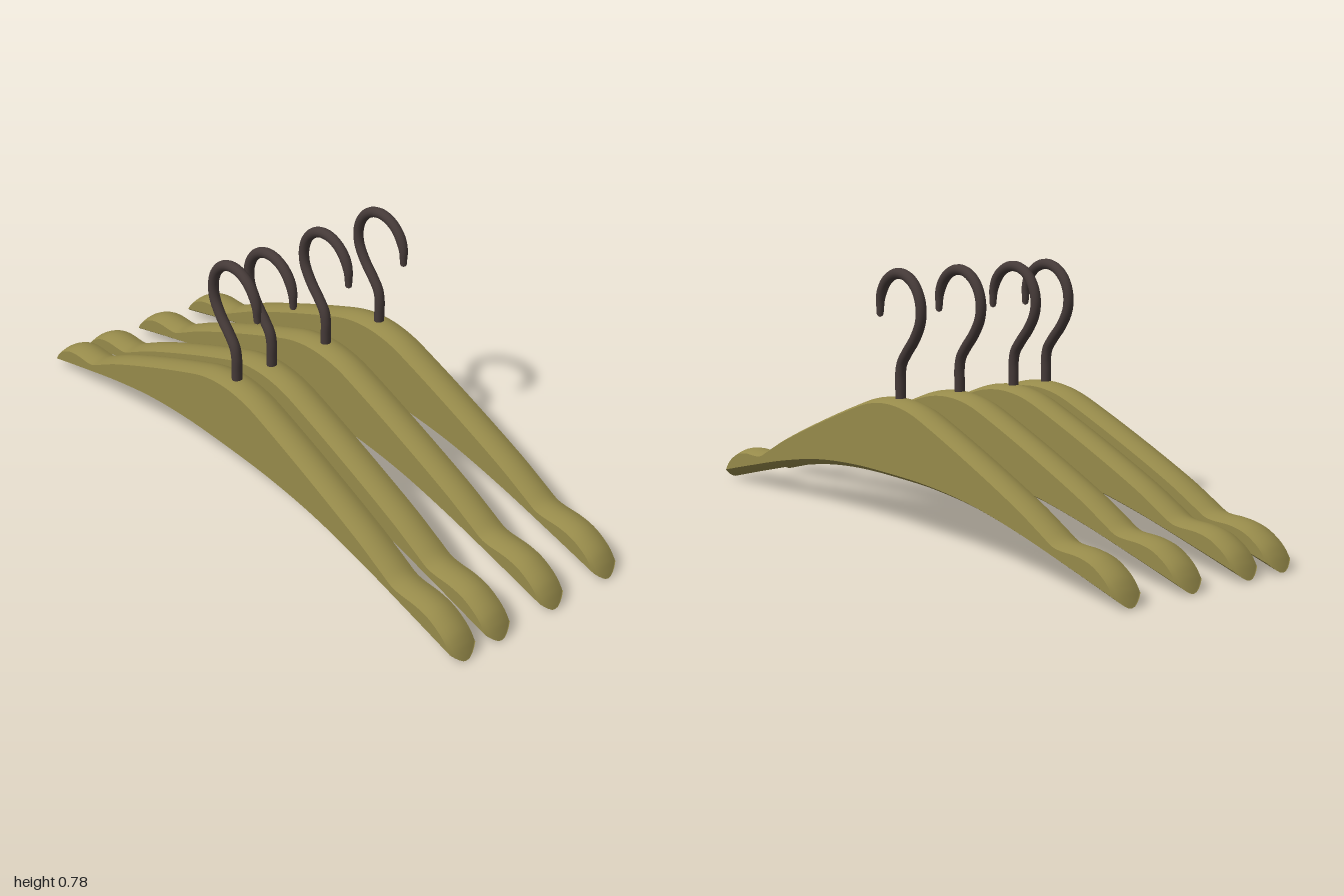
import * as THREE from 'three';

const HALF_WIDTH = 0.046;
const wood = new THREE.MeshStandardMaterial({ color: 0x968a4a });
const metal = new THREE.MeshStandardMaterial({ color: 0x453a38 });

// Half outlines of the wooden arms as [x, y]; mirrored about x = 0
const TOP = [
  [0, 0.405], [0.1, 0.394], [0.2, 0.362], [0.4, 0.286], [0.6, 0.203], [0.7, 0.154], [0.745, 0.132],
  [0.78, 0.127], [0.84, 0.126], [0.89, 0.117], [0.93, 0.098], [0.96, 0.075], [0.98, 0.048], [0.992, 0.024], [1, 0.005],
];
const BOTTOM = [[0, 0.165], [0.2, 0.161], [0.4, 0.142], [0.6, 0.104], [0.8, 0.055], [1, 0.003]];

// Smooth (Hermite) lookup of an outline's height at x
function heightAt(points, x) {
  x = Math.min(Math.abs(x), 1);
  let i = 0;
  while (i < points.length - 2 && x > points[i + 1][0]) i++;
  const slope = (k) => {
    if (k === 0) return 0;
    const a = points[k - 1], b = points[Math.min(k + 1, points.length - 1)];
    return (b[1] - a[1]) / (b[0] - a[0]);
  };
  const [x0, y0] = points[i], [x1, y1] = points[i + 1];
  const h = x1 - x0, t = (x - x0) / h, t2 = t * t, t3 = t2 * t;
  return (2 * t3 - 3 * t2 + 1) * y0 + (t3 - 2 * t2 + t) * h * slope(i)
    + (3 * t2 - 2 * t3) * y1 + (t3 - t2) * h * slope(i + 1);
}

// Crowned top and bevelled underside; s runs -1..1 across the thickness
const endInset = (x, s) => x * (1 - 0.018 * s * s);
function underside(x, s) {
  const px = endInset(x, s);
  return heightAt(BOTTOM, px) + (0.021 + 0.006 * px * px) * Math.pow(Math.abs(s), 1.4);
}
function crown(x, s) {
  const y = heightAt(TOP, endInset(x, s)) - 0.014 * s * s;
  return Math.max(y, underside(x, s));
}

// Grid bent by a rule: u and v run -1..1
function surface(rows, rule) {
  const geometry = new THREE.PlaneGeometry(2, 2, 180, rows);
  const p = geometry.attributes.position;
  for (let i = 0; i < p.count; i++) {
    p.setXYZ(i, ...rule(Math.sin(p.getX(i) * Math.PI / 2), p.getY(i)));
  }
  geometry.computeVertexNormals();
  return geometry;
}

function side(sign) {
  return surface(2, (u, v) => {
    const x = u * sign;
    return [endInset(x, 1), THREE.MathUtils.lerp(underside(x, 1), crown(x, 1), (v + 1) / 2), sign * HALF_WIDTH];
  });
}

// Wire hook: swan neck, round bow, tapered rounded tip
function hookGeometry() {
  const points = [[0, 0.38], [0.001, 0.43], [0.001, 0.475], [-0.007, 0.508], [-0.032, 0.541], [-0.07, 0.583]]
    .map(([x, y]) => new THREE.Vector3(x, y, 0));
  for (let d = 203; d >= -5; d -= 16) {
    const a = THREE.MathUtils.degToRad(d);
    points.push(new THREE.Vector3(0.104 * Math.cos(a), 0.665 + 0.104 * Math.sin(a), 0));
  }
  points.push(new THREE.Vector3(0.105, 0.633, 0));
  const curve = new THREE.CatmullRomCurve3(points);
  const segments = 140, radial = 14;
  const geometry = new THREE.TubeGeometry(curve, segments, 0.016, radial);
  const p = geometry.attributes.position, v = new THREE.Vector3();
  for (let i = 0; i <= segments; i++) {
    const u = i / segments, centre = curve.getPointAt(u);
    let scale = 1 - 0.35 * THREE.MathUtils.smoothstep(u, 0.86, 1);
    if (u > 0.98) scale *= Math.sqrt(Math.max(0, 1 - ((u - 0.98) / 0.02) ** 2));
    for (let j = 0; j <= radial; j++) {
      const k = i * (radial + 1) + j;
      v.fromBufferAttribute(p, k).sub(centre).multiplyScalar(scale).add(centre);
      p.setXYZ(k, v.x, v.y, v.z);
    }
  }
  return geometry;
}

export function createModel() {
  const model = new THREE.Group();
  model.name = 'coatHangers';

  const parts = [
    ['armTop', surface(8, (x, s) => [endInset(x, s), crown(x, s), -HALF_WIDTH * s]), wood],
    ['armUnderside', surface(8, (x, s) => [endInset(x, s), underside(x, s), HALF_WIDTH * s]), wood],
    ['armFront', side(1), wood],
    ['armBack', side(-1), wood],
    ['hook', hookGeometry(), metal],
  ];

  // Four identical hangers, unevenly spaced
  [0.276, 0.147, -0.06, -0.275].forEach((z, i) => {
    const hanger = new THREE.Group();
    hanger.name = `hanger${i + 1}`;
    for (const [name, geometry, material] of parts) {
      const mesh = new THREE.Mesh(geometry, material);
      mesh.name = name;
      hanger.add(mesh);
    }
    hanger.position.z = z;
    model.add(hanger);
  });
  return model;
}
